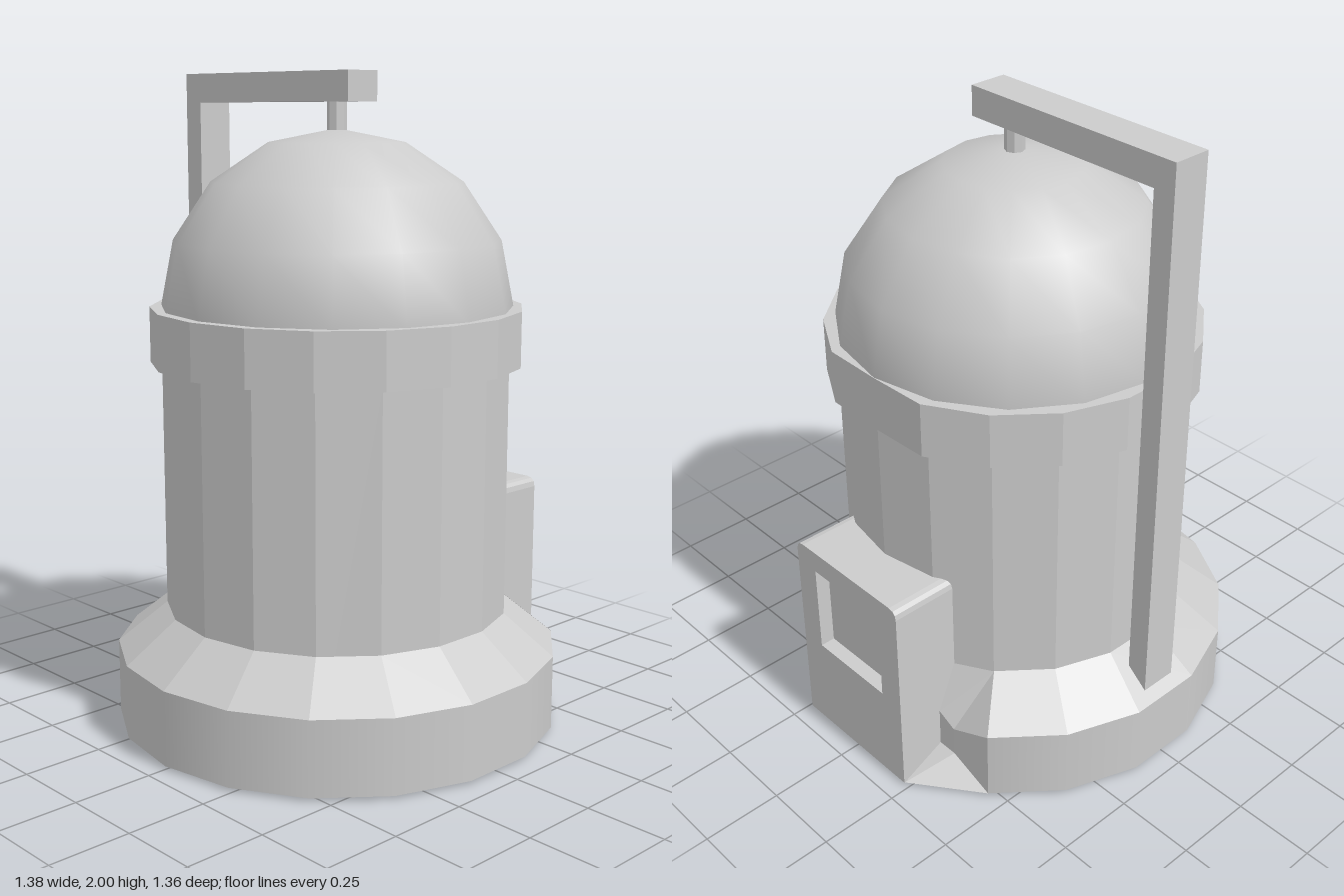
import * as THREE from 'three';

const SIDES = 18;
const STEP = (Math.PI * 2) / SIDES;
const BOTTOM = 0.01;

const flat = new THREE.MeshStandardMaterial({ color: 0xcccccc, flatShading: true, side: THREE.DoubleSide });
const smooth = new THREE.MeshStandardMaterial({ color: 0xcccccc, side: THREE.DoubleSide });

function add(group, name, geometry, material, x = 0, y = 0, z = 0) {
  const mesh = new THREE.Mesh(geometry, material);
  mesh.name = name;
  mesh.position.set(x, y, z);
  group.add(mesh);
  return mesh;
}

// Eighteen-sided drum with a corner on the x axis
function drum(radius, y0, y1) {
  return new THREE.CylinderGeometry(radius, radius, y1 - y0, SIDES)
    .rotateY(Math.PI / 2).translate(0, (y0 + y1) / 2, 0);
}

// Ring that leaves a gap of four sides around +x
function openRing(points) {
  const profile = points.map(([r, y]) => new THREE.Vector2(r, y));
  return new THREE.LatheGeometry(profile, SIDES - 4, Math.PI / 2 + 2 * STEP, (SIDES - 4) * STEP);
}

// Triangles from lists of corners, each polygon fanned from its first corner
function polygons(list) {
  const positions = [];
  for (const poly of list) {
    for (let i = 1; i < poly.length - 1; i++) positions.push(...poly[0], ...poly[i], ...poly[i + 1]);
  }
  const geometry = new THREE.BufferGeometry();
  geometry.setAttribute('position', new THREE.Float32BufferAttribute(positions, 3));
  geometry.computeVertexNormals();
  return geometry;
}

// Rectangle with small rounded top corners
function doorShape(halfWidth, y0, y1, r) {
  const s = new THREE.Shape();
  s.moveTo(-halfWidth, y0);
  s.lineTo(halfWidth, y0);
  s.lineTo(halfWidth, y1 - r);
  s.quadraticCurveTo(halfWidth, y1, halfWidth - r, y1);
  s.lineTo(-halfWidth + r, y1);
  s.quadraticCurveTo(-halfWidth, y1, -halfWidth, y1 - r);
  s.closePath();
  return s;
}

// Extrude a front-facing shape so that it spans x0 to x1
function extrudeX(shape, x0, x1) {
  return new THREE.ExtrudeGeometry(shape, { depth: x1 - x0, bevelEnabled: false, curveSegments: 3 })
    .rotateY(Math.PI / 2).translate(x0, 0, 0);
}

export function createModel() {
  const model = new THREE.Group();
  model.name = 'domedTower';

  // Main drum and base
  add(model, 'body', drum(0.535, 0.05, 1.14), flat);
  add(model, 'baseWall', openRing([[0.69, BOTTOM], [0.69, 0.24]]), smooth);
  add(model, 'baseSlope', openRing([[0.69, 0.24], [0.535, 0.365]]), flat);

  // Shallow underside, widened to meet the door block
  const rim = [[0.685, BOTTOM, 0.235]];
  for (let i = 2; i <= SIDES - 2; i++) {
    rim.push([0.69 * Math.cos(i * STEP), BOTTOM, 0.69 * Math.sin(i * STEP)]);
  }
  rim.push([0.685, BOTTOM, -0.235], rim[0]);
  add(model, 'underside', polygons([[[0, 0, 0], ...rim]]), flat);

  // Cut-back faces of the base on both sides of the door block
  const slopeTop = [0.41, 0.365, 0.345];
  const slopeEnd = [0.529, 0.24, 0.444];
  const wallEnd = [0.529, BOTTOM, 0.444];
  const upper = [0.537, 0.18, 0.3];
  const upperIn = [0.537, 0.21, 0.235];
  const lower = [0.537, 0.08, 0.3];
  const lowerIn = [0.537, 0.08, 0.235];
  const doorFoot = [0.685, BOTTOM, 0.235];
  const faces = [
    [slopeTop, upper, slopeEnd],
    [slopeTop, [0.503, 0.365, 0.183], upperIn, upper],
    [upper, upperIn, lowerIn, lower],
    [slopeEnd, upper, lower, wallEnd],
    [lower, lowerIn, doorFoot],
    [lower, doorFoot, wallEnd],
  ];
  add(model, 'leftRecess', polygons(faces.map((f) => [...f].reverse())), flat)
    .name = 'frontRecess';
  add(model, 'backRecess', polygons(faces.map((f) => f.map(([x, y, z]) => [x, y, -z]))), flat);

  // Door block with a sunken window
  const frame = doorShape(0.235, BOTTOM, 0.683, 0.03);
  const hole = new THREE.Path();
  hole.moveTo(-0.15, 0.32);
  hole.lineTo(-0.15, 0.612);
  hole.lineTo(0.15, 0.612);
  hole.lineTo(0.15, 0.32);
  hole.closePath();
  frame.holes.push(hole);
  add(model, 'doorFrame', extrudeX(frame, 0.64, 0.687), flat);
  add(model, 'doorBlock', extrudeX(doorShape(0.235, BOTTOM, 0.683, 0.03), 0.42, 0.64), flat);

  // Collar, trimmed flat above the door
  const collar = drum(0.57, 1.13, 1.3);
  const p = collar.attributes.position;
  for (let i = 0; i < p.count; i++) p.setX(i, Math.min(p.getX(i), 0.54));
  add(model, 'collar', collar, flat);

  // Dome
  add(model, 'dome', new THREE.SphereGeometry(0.54, 16, 4, 0, Math.PI * 2, 0, Math.PI / 2), smooth, 0, 1.292, 0);

  // Pin and the bracket that reaches over from the back
  add(model, 'pin', new THREE.CylinderGeometry(0.03, 0.03, 0.1, 8), flat, 0, 1.865, 0);
  add(model, 'bracketArm', new THREE.BoxGeometry(0.12, 0.09, 0.755), flat, 0, 1.955, -0.2675);
  add(model, 'bracketPost', new THREE.BoxGeometry(0.12, 1.66, 0.07), flat, 0, 1.08, -0.61);

  return model;
}
